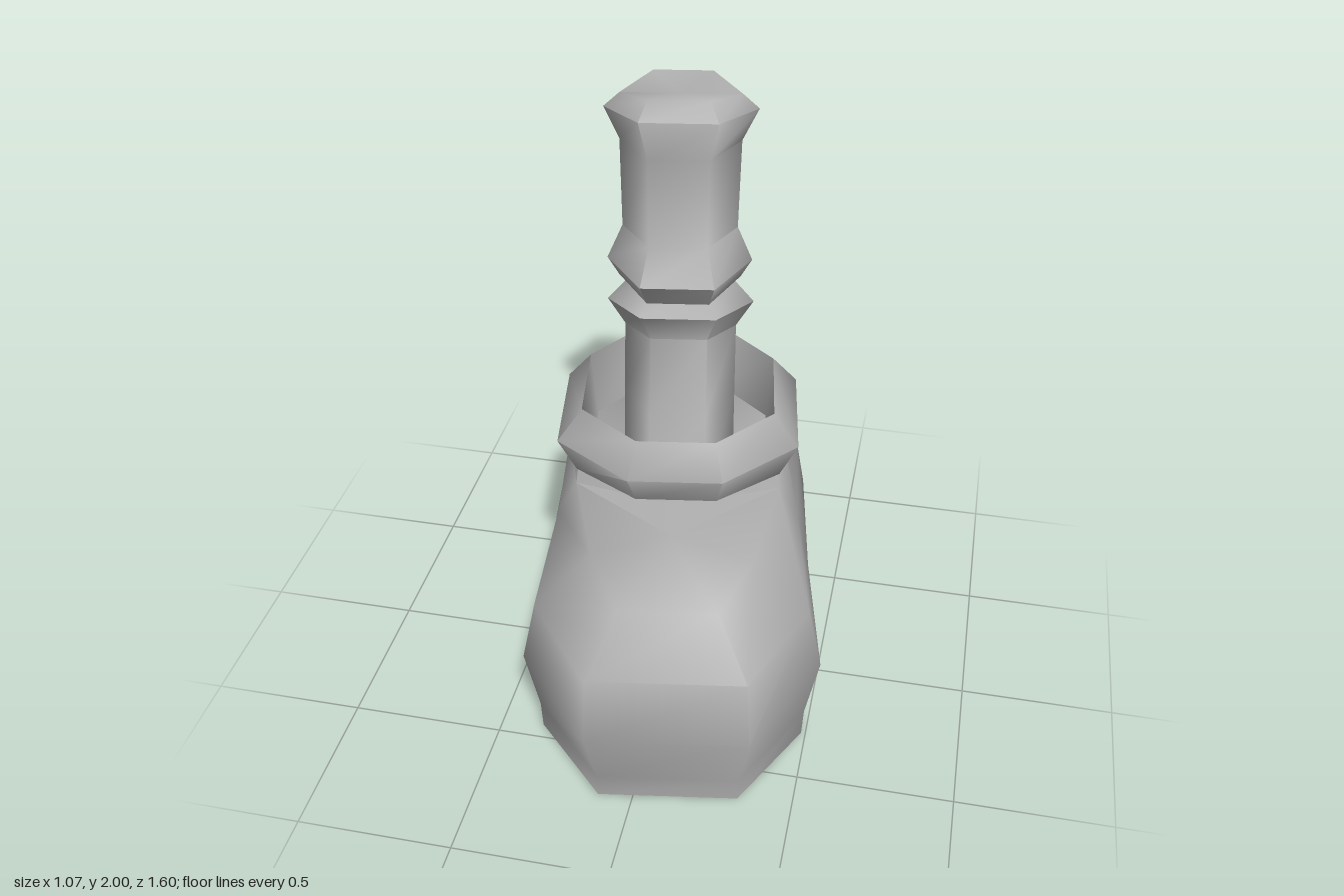
import * as THREE from 'three';
import { toCreasedNormals } from 'three/addons/utils/BufferGeometryUtils.js';

const grey = new THREE.MeshStandardMaterial({ color: 0xb4b4b4 });
grey.name = 'plain grey';

// Full ring from the half on the left side, listed front to back as [x, y, z]
const mirror = (half) => [...half, ...half.map(([x, y, z]) => [-x, y, z]).reverse()];

// Skin over rings (bottom to top); optional centre points close the ends.
// top may be one point, or [front, back] with "split" points per half fanned to the front one.
function loft(name, halves, { bottom, top, split } = {}) {
  const rings = halves.map(mirror);
  const n = rings[0].length;
  const points = rings.flat();
  const index = [];
  for (let r = 0; r < rings.length - 1; r++) {
    for (let j = 0; j < n; j++) {
      const k = (j + 1) % n;
      const a = r * n + j, b = r * n + k;
      index.push(a, b, b + n, a, b + n, a + n);
    }
  }
  if (bottom) {
    const c = points.push(bottom) - 1;
    for (let j = 0; j < n; j++) index.push(c, (j + 1) % n, j);
  }
  if (top) {
    const start = (rings.length - 1) * n;
    const front = points.push(top[0]) - 1;
    const back = top[1] ? points.push(top[1]) - 1 : front;
    for (let j = 0; j < n; j++) {
      const isBack = top[1] && j >= split && j < n - 1 - split;
      index.push(isBack ? back : front, start + j, start + (j + 1) % n);
    }
    if (top[1]) index.push(front, start + split, back, front, back, start + n - 1 - split);
  }
  let g = new THREE.BufferGeometry();
  g.setAttribute('position', new THREE.Float32BufferAttribute(points.flat(), 3));
  g.setIndex(index);
  g = toCreasedNormals(g, 1.12);
  const mesh = new THREE.Mesh(g, grey);
  mesh.name = name;
  return mesh;
}

// Six-sided bone ring: front edge, back edge, side corners
const boneRing = ([zFront, yFront, zBack, yBack, ySide, w]) => [
  [w / 2, yFront, zFront], [w, ySide, (zFront + zBack) / 2], [w / 2, yBack, zBack],
];

// Eight-sided collar ring
const collarRing = (y, xEnd, xSide, z1, z2, z3, z4) => [
  [xEnd, y, z1], [xSide, y, z2], [xSide, y, z3], [xEnd, y, z4],
];

export function createModel() {
  const model = new THREE.Group();
  model.name = 'bootWithBone';
  const turned = new THREE.Group();
  turned.name = 'turnedBoot';
  turned.rotation.y = 0.163;
  model.add(turned);

  // Boot shell: toe, toe side, instep, heel side, heel back
  turned.add(loft('bootBody', [
    [[0.22, 0.02, 0.69], [0.43, 0.0, 0.38], [0.41, 0.06, -0.15], [0.39, 0.1, -0.52], [0.18, 0.1, -0.71]],
    [[0.22, 0.11, 0.7], [0.435, 0.1, 0.38], [0.42, 0.12, -0.13], [0.395, 0.13, -0.53], [0.18, 0.13, -0.715]],
    [[0.25, 0.34, 0.77], [0.476, 0.33, 0.4], [0.45, 0.33, -0.09], [0.445, 0.33, -0.577], [0.2, 0.34, -0.775]],
    [[0.24, 0.57, 0.75], [0.43, 0.55, 0.4], [0.405, 0.55, -0.08], [0.41, 0.54, -0.55], [0.19, 0.57, -0.74]],
    [[0.15, 0.735, 0.62], [0.25, 0.74, 0.38], [0.335, 0.7, -0.04], [0.335, 0.75, -0.43], [0.13, 0.75, -0.605]],
  ], { bottom: [0, 0.04, 0], top: [[0, 0.8, 0.35], [0, 0.72, 0.09]], split: 2 }));

  // Heel block under the back of the boot
  const heel = (y) => [[0.4, y, -0.15], [0.39, y, -0.52], [0.18, y, -0.71]];
  turned.add(loft('heelBlock', [heel(0), heel(0.12)], { bottom: [0, 0, -0.4] }));

  // Flared cuff with an open top and an inner wall
  turned.add(loft('cuff', [
    collarRing(0.735, 0.13, 0.335, 0.085, -0.07, -0.43, -0.605),
    collarRing(0.86, 0.15, 0.392, 0.157, -0.05, -0.45, -0.673),
    collarRing(0.975, 0.125, 0.31, 0.1, -0.07, -0.4, -0.61),
    collarRing(0.735, 0.115, 0.29, 0.08, -0.08, -0.39, -0.585),
  ]));

  // Lower bone, standing in the cuff
  turned.add(loft('lowerBone', [
    [0.03, 0.71, -0.28, 0.71, 0.71, 0.18],
    [-0.05, 0.97, -0.37, 0.97, 0.97, 0.18],
    [-0.13, 1.21, -0.42, 1.14, 1.18, 0.18],
    [-0.085, 1.31, -0.485, 1.22, 1.265, 0.235],
    [-0.19, 1.385, -0.46, 1.29, 1.32, 0.17],
  ].map(boneRing), { bottom: [0, 0.71, -0.12], top: [[0, 1.32, -0.33]] }));

  // Upper bone, floating just above
  turned.add(loft('upperBone', [
    [-0.06, 1.38, -0.35, 1.385, 1.4, 0.19],
    [-0.01, 1.46, -0.4, 1.5, 1.46, 0.225],
    [-0.085, 1.56, -0.375, 1.56, 1.56, 0.178],
    [-0.12, 1.83, -0.42, 1.78, 1.83, 0.185],
    [-0.11, 1.95, -0.51, 1.88, 1.915, 0.235],
    [-0.155, 2.0, -0.465, 1.97, 1.96, 0.185],
  ].map(boneRing), { bottom: [0, 1.4, -0.2], top: [[0, 1.96, -0.31]] }));

  return model;
}
